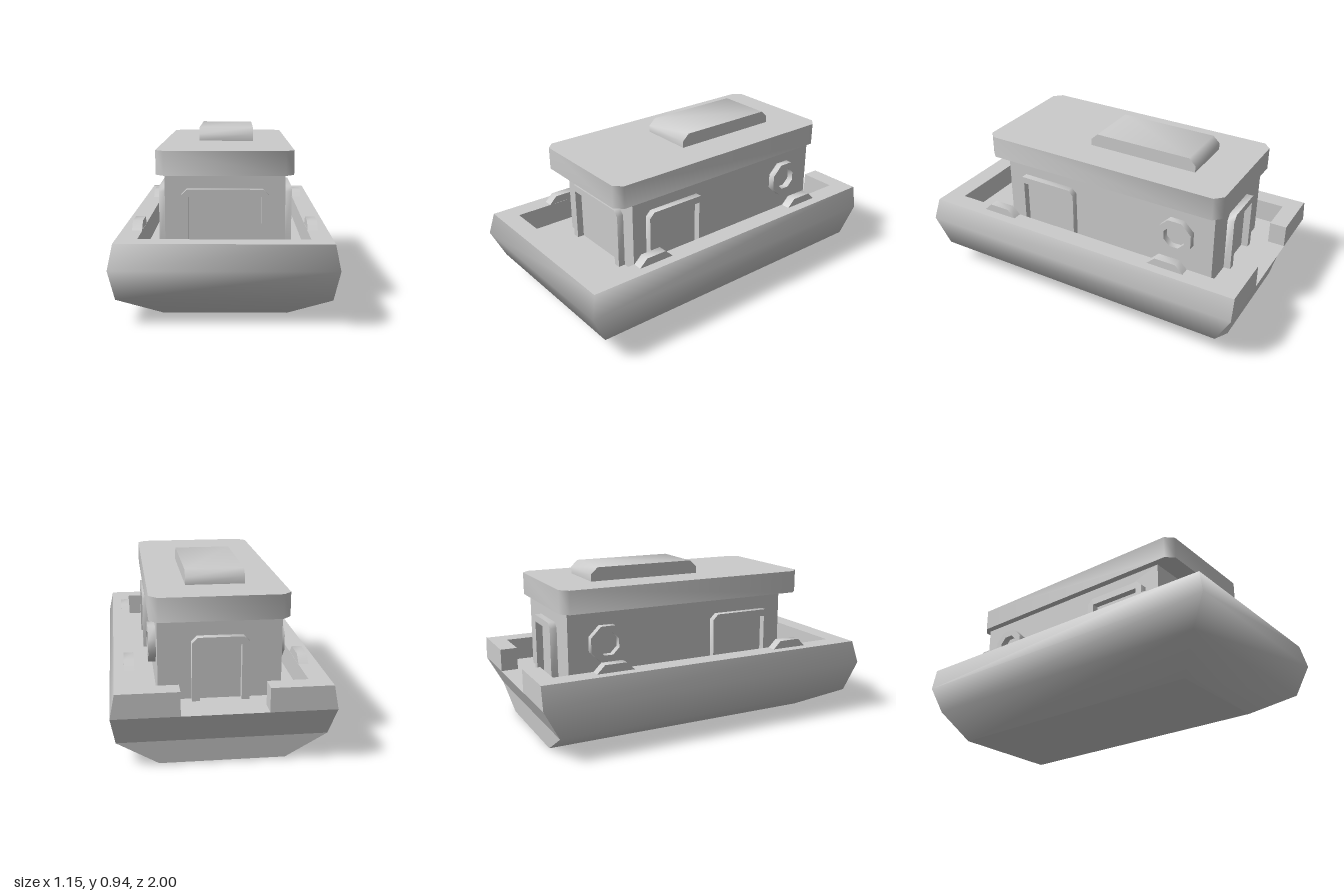
import * as THREE from 'three';
import { toCreasedNormals } from 'three/addons/utils/BufferGeometryUtils.js';

const material = new THREE.MeshStandardMaterial({ color: 0xcccccc, side: THREE.DoubleSide });
const flat = new THREE.MeshStandardMaterial({ color: 0xcccccc, side: THREE.DoubleSide, flatShading: true });

// hull levels: half width, height, bow z, stern z
const LEVELS = [
  [0.33, 0, 0.72, -0.90],
  [0.55, 0.13, 0.92, -0.91],
  [0.575, 0.30, 1.0, -1.0],
  [0.55, 0.43, 0.97, -1.0],
];
const DECK = 0.30, RIM = 0.43;

function polygon(points) {
  return new THREE.Shape(points.map(([x, y]) => new THREE.Vector2(x, y)));
}

function extrude(shape, depth) {
  const g = new THREE.ExtrudeGeometry(shape, { depth, bevelEnabled: false });
  return toCreasedNormals(g, 0.9);
}

// extrude a plan drawn in (x, -z) upward from height y
function extrudeUp(shape, y, height) {
  return extrude(shape, height).rotateX(-Math.PI / 2).translate(0, y, 0);
}

function quads(list) {
  const g = new THREE.BufferGeometry();
  const pos = [];
  for (const [a, b, c, d] of list) for (const p of [a, b, c, a, c, d]) pos.push(...p);
  g.setAttribute('position', new THREE.Float32BufferAttribute(pos, 3));
  g.computeVertexNormals();
  return g;
}

// bow and sides as one smooth skin
function hullSkin() {
  const pos = [], index = [];
  for (const [x, y, zf, zb] of LEVELS) pos.push(-x, y, zb, -x, y, zf, x, y, zf, x, y, zb);
  for (let i = 0; i < LEVELS.length - 1; i++) {
    for (let j = 0; j < 3; j++) {
      const a = i * 4 + j, b = a + 1, c = b + 4, d = a + 4;
      index.push(a, b, c, a, c, d);
    }
  }
  const g = new THREE.BufferGeometry();
  g.setAttribute('position', new THREE.Float32BufferAttribute(pos, 3));
  g.setIndex(index);
  g.computeVertexNormals();
  return g;
}

// arch-like door surround with clipped top corners, standing on the deck
function doorFrame(halfWidth) {
  const w = halfWidth, i = w - 0.04, c = 0.03, top = 0.645 - DECK;
  return extrude(polygon([
    [-w, 0], [-i, 0], [-i, top - 0.04], [i, top - 0.04], [i, 0], [w, 0],
    [w, top - c], [w - c, top], [-w + c, top], [-w, top - c],
  ]), 0.04);
}

function octagon(apothem) {
  const r = apothem / Math.cos(Math.PI / 8);
  return Array.from({ length: 8 }, (_, k) => {
    const a = (k + 0.5) * Math.PI / 4;
    return [r * Math.cos(a), r * Math.sin(a)];
  });
}

export function createModel() {
  const model = new THREE.Group();
  const add = (name, geometry, mat = material) => {
    const mesh = new THREE.Mesh(geometry, mat);
    mesh.name = name;
    model.add(mesh);
    return mesh;
  };

  // hull
  add('hullSides', hullSkin());
  const [x0, , f0, b0] = LEVELS[0];
  add('hullBottom', quads([[[-x0, 0, b0], [x0, 0, b0], [x0, 0, f0], [-x0, 0, f0]]]), flat);
  const stern = [];
  for (let i = 0; i < 2; i++) {
    const [xa, ya, , za] = LEVELS[i], [xb, yb, , zb] = LEVELS[i + 1];
    stern.push([[xa, ya, za], [-xa, ya, za], [-xb, yb, zb], [xb, yb, zb]]);
  }
  // stern plates either side of the boarding gap
  stern.push([[0.575, DECK, -1], [0.225, DECK, -1], [0.225, RIM, -1], [0.55, RIM, -1]]);
  stern.push([[-0.225, DECK, -1], [-0.575, DECK, -1], [-0.55, RIM, -1], [-0.225, RIM, -1]]);
  add('transom', quads(stern), flat);

  // bulwark around the deck, open at the stern
  add('bulwark', extrudeUp(polygon([
    [-0.55, -0.97], [0.55, -0.97], [0.55, 0.998], [0.225, 0.998], [0.225, 0.9], [0.44, 0.9],
    [0.44, -0.86], [-0.44, -0.86], [-0.44, 0.9], [-0.225, 0.9], [-0.225, 0.998], [-0.55, 0.998],
  ]), DECK, RIM - DECK));
  add('deck', new THREE.PlaneGeometry(0.88, 1.86).rotateX(-Math.PI / 2).translate(0, DECK, -0.07));

  // cabin and roof
  add('cabin', new THREE.BoxGeometry(0.65, 0.43, 1.345).translate(0, DECK + 0.215, -0.1025));
  const w = 0.365, f = -0.69, b = 0.815, c = 0.045;
  add('roof', extrudeUp(polygon([
    [-w + c, f], [w - c, f], [w, f + c], [w, b - c], [w - c, b], [-w + c, b], [-w, b - c], [-w, f + c],
  ]), 0.73, 0.13));

  // roof hatch, profile in (-z, y)
  add('roofHatch', extrude(polygon([
    [-0.09, 0.86], [0.57, 0.86], [0.57, 0.9], [0.53, 0.937], [-0.05, 0.937], [-0.09, 0.9],
  ]), 0.32).rotateY(Math.PI / 2).translate(-0.16, 0, 0));

  // end doors
  add('frontDoorFrame', doorFrame(0.235)).position.set(0, DECK, 0.57);
  const back = add('backDoorFrame', doorFrame(0.15));
  back.position.set(0, DECK, -0.775);
  back.rotation.y = Math.PI;

  // side doors, portholes and rim blocks, mirrored
  const ring = polygon(octagon(0.1));
  ring.holes.push(polygon(octagon(0.062)));
  for (const [side, s] of [['left', 1], ['right', -1]]) {
    const door = add(side + 'DoorFrame', doorFrame(0.193));
    door.position.set(s * 0.325, DECK, 0.29);
    door.rotation.y = s * Math.PI / 2;

    const porthole = add(side + 'Porthole', extrude(ring, 0.04));
    porthole.position.set(s * 0.325, 0.55, -0.557);
    porthole.rotation.y = s * Math.PI / 2;

    for (const [end, z] of [['Front', 0.54], ['Back', -0.57]]) {
      const block = extrude(polygon([[-0.108, 0], [0.108, 0], [0.062, 0.045], [-0.062, 0.045]]), 0.054);
      block.translate(0, 0, -0.027).rotateY(Math.PI / 2);
      add(side + end + 'RimBlock', block).position.set(s * 0.468, RIM, z);
    }
  }
  return model;
}
